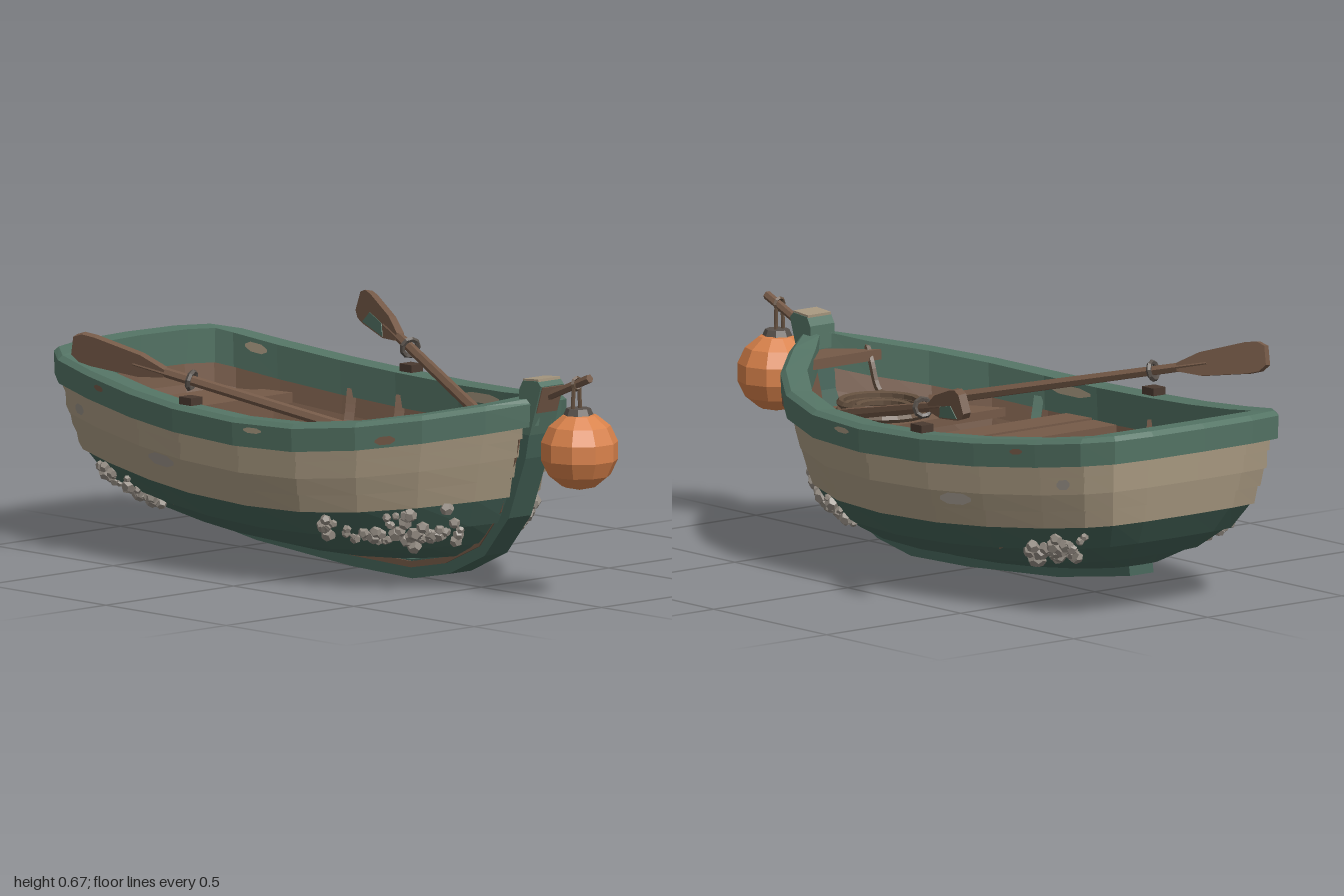
import * as THREE from 'three';
import { mergeGeometries } from 'three/addons/utils/BufferGeometryUtils.js';

const mat = (name, color) => Object.assign(new THREE.MeshStandardMaterial({ color, flatShading: true }), { name });
const V = (x, y, z) => new THREE.Vector3(x, y, z);
const shapeOf = (pts) => new THREE.Shape(pts.map((q) => new THREE.Vector2(...q)));
const extrude = (pts, depth) =>
  new THREE.ExtrudeGeometry(shapeOf(pts), { depth, bevelEnabled: false }).translate(0, 0, -depth / 2);
const lerpRows = (rows, t) => {
  const i = Math.min(Math.floor(t), rows.length - 2), f = t - i;
  return rows[i].map((a, k) => a + (rows[i + 1][k] - a) * f);
};

// Plan outline from stern centre to bow: length fraction, width fraction
const plan = [[0, 0], [0.005, 0.4], [0.02, 0.64], [0.06, 0.75], [0.15, 0.83], [0.28, 0.92], [0.4, 0.98],
  [0.55, 1], [0.68, 0.96], [0.79, 0.82], [0.88, 0.58], [0.95, 0.29], [1, 0.05]];
const N = plan.length - 1;
// Plank edges from rail to keel: stern x, bow x, half width, height, stern rise, bow rise
const levels = [
  [-0.975, 0.73, 0.455, 0.42, 0.085, 0.1], [-0.96, 0.7, 0.44, 0.32, 0.08, 0.09],
  [-0.93, 0.665, 0.405, 0.22, 0.075, 0.07], [-0.87, 0.62, 0.345, 0.15, 0.07, 0.06],
  [-0.79, 0.56, 0.25, 0.095, 0.065, 0.05], [-0.72, 0.5, 0.12, 0.06, 0.06, 0.04], [-0.7, 0.45, 0, 0.05, 0.06, 0.02]];

// Point on the hull: v counts planks down, u runs from stern to bow, off moves outwards
const hull = (v, u, side = 1, off = 0, dy = 0) => {
  const [xs, xb, w, y, rs, rb] = lerpRows(levels, v);
  const at = (t) => {
    const [n, f] = lerpRows(plan, Math.min(N, Math.max(0, t)));
    return [xs + (xb - xs) * n, w * f, n];
  };
  const [x, z, n] = at(u);
  let nx = u <= 0 ? -1 : 1, nz = 0;
  if (u > 0 && u < N) {
    const a = at(u - 0.6), b = at(u + 0.6), l = Math.hypot(b[0] - a[0], b[1] - a[1]) || 1;
    nx = -(b[1] - a[1]) / l;
    nz = (b[0] - a[0]) / l;
  }
  const rise = n < 0.58 ? rs * ((0.58 - n) / 0.58) ** 2 : rb * ((n - 0.58) / 0.42) ** 2;
  return V(x + nx * off, y + rise + dy, side * (z + nz * off));
};
const ring = (v, off = 0, dy = 0) =>
  Array.from({ length: 2 * N + 1 }, (_, i) => hull(v, Math.abs(i - N), Math.sign(i - N) || 1, off, dy));
const widthAt = (x, v) => {
  for (let u = 2; u <= N; u += 0.05) {
    const p = hull(v, u, 1, -0.034);
    if (p.x >= x) return p.z;
  }
  return 0.01;
};
// Skin between successive rows, outside facing when rows run downwards
const skin = (rows) => {
  const p = [];
  for (let i = 0; i < rows.length - 1; i++)
    for (let j = 0; j < rows[i].length - 1; j++) {
      const a = rows[i][j], b = rows[i][j + 1], c = rows[i + 1][j + 1], d = rows[i + 1][j];
      for (const q of [a, d, c, a, c, b]) p.push(q.x, q.y, q.z);
    }
  const g = new THREE.BufferGeometry().setAttribute('position', new THREE.Float32BufferAttribute(p, 3));
  g.computeVertexNormals();
  return g;
};

export function createModel() {
  const green = mat('green paint', 0x547465), deep = mat('bottom paint', 0x446257);
  const cream = mat('weathered cream', 0xa6977f), wood = mat('wood', 0x755a48), dark = mat('dark wood', 0x4a3a30);
  const orange = mat('orange float', 0xd9824b), shell = mat('barnacle grey', 0x958d84);
  const rope = mat('rope', 0x64503f), iron = mat('iron', 0x57504a);
  const root = new THREE.Group();
  root.name = 'rowingBoat';
  root.position.z = -0.01;
  const add = (name, geo, material, x = 0, y = 0, z = 0, parent = root) => {
    const m = new THREE.Mesh(geo, material);
    m.name = name;
    m.position.set(x, y, z);
    parent.add(m);
    return m;
  };
  const box = (name, w, h, d, material, x, y, z) => add(name, new THREE.BoxGeometry(w, h, d), material, x, y, z);
  const tube = (name, pts, r, sides, material) =>
    add(name, new THREE.TubeGeometry(new THREE.CatmullRomCurve3(pts), pts.length * 3, r, sides), material);
  const rod = (name, a, b, r, material) => {
    const m = add(name, new THREE.CylinderGeometry(r, r, a.distanceTo(b), 6), material);
    m.position.copy(a).lerp(b, 0.5);
    m.quaternion.setFromUnitVectors(V(0, 1, 0), b.clone().sub(a).normalize());
  };

  // Lapped outer planks with dark seams
  for (const [a, b] of [[0, 0.5], [0.5, 1], [1, 1.5], [1.5, 2], [2, 3], [3, 4], [4, 5], [5, 6]]) {
    const lap = b === 6 ? 0 : 0.008, edge = ring(b, lap, -lap * 0.6);
    add('hullPlank', skin([ring(a, 0.001), edge]), b > 2 ? deep : cream);
    add('plankSeam', skin([edge, ring(b, -0.004, 0.004 - lap * 0.6)]), dark);
  }

  // Rail, inner lining and floor
  add('gunwale', skin([ring(0, -0.045, -0.045), ring(0, -0.05, 0.055), ring(0, 0.012, 0.058), ring(0, 0.027, 0.045),
    ring(0, 0.024, -0.022), ring(0, 0, -0.022)]), green);
  const floorEdge = ring(2.9, -0.03);
  floorEdge.forEach((p) => { p.y = Math.max(p.y, 0.17); });
  add('innerLining', skin([floorEdge, ring(2, -0.03), ring(1, -0.03), ring(0, -0.03)]), wood);
  add('floor', skin([floorEdge.slice(N).reverse(), floorEdge.slice(0, N + 1)]), wood);
  for (const s of [-1, 1])
    for (const [z, a, b] of [[0.04, -0.66, 0.36], [0.12, -0.66, 0.36], [0.2, -0.64, 0.3], [0.27, -0.5, 0.12]])
      box('floorBoard', b - a, 0.02, 0.072, wood, (a + b) / 2, 0.184, s * z);

  // Seats and bow deck made of cross planks
  const deck = (name, x0, x1, count, y, v, t) => {
    const step = (x1 - x0) / count;
    for (let i = 0; i < count; i++) {
      const a = x0 + i * step + 0.004, b = x0 + (i + 1) * step - 0.004, wa = widthAt(a, v), wb = widthAt(b, v);
      add(name, extrude([[a, -wa], [b, -wb], [b, wb], [a, wa]], t).rotateX(-Math.PI / 2), wood, 0, y - t / 2 + (i % 2) * 0.004);
    }
  };
  deck('sternSeat', -0.88, -0.65, 2, 0.385, 1.1, 0.03);
  deck('middleSeat', -0.13, 0.09, 2, 0.38, 0.8, 0.04);
  deck('bowDeck', 0.29, 0.63, 3, 0.375, 0.9, 0.025);
  deck('breasthook', 0.58, 0.7, 1, 0.53, 0.1, 0.03);
  box('sternSeatFront', 0.02, 0.14, 0.54, wood, -0.67, 0.29, 0);
  add('seatStain', new THREE.CylinderGeometry(0.028, 0.028, 0.006, 8), shell, -0.86, 0.386, 0.09);

  // Ribs
  for (const x of [-0.46, -0.28, 0.2]) {
    for (const s of [-1, 1])
      tube('rib', [0.1, 1, 2, 2.8].map((v) => V(x, hull(v, 6).y, s * widthAt(x, v))), 0.02, 4, x > 0 ? green : wood);
    box('floorRib', 0.02, 0.03, 0.56, dark, x, 0.186, 0);
  }

  // Keel and stem, with a worn rubbing strip
  const outer = [[-0.72, 0.085], [-0.4, 0.035], [0, 0.006], [0.25, 0], [0.4, 0.03], [0.55, 0.1], [0.65, 0.22], [0.72, 0.4], [0.745, 0.52]];
  const inset = (d) => outer.map(([x, y], i) => {
    const a = outer[Math.max(0, i - 1)], b = outer[Math.min(outer.length - 1, i + 1)];
    const l = Math.hypot(b[0] - a[0], b[1] - a[1]);
    return [x - (b[1] - a[1]) / l * d, y + (b[0] - a[0]) / l * d];
  });
  add('keelAndStem', extrude([...outer, ...inset(0.055).reverse()], 0.088), deep);
  add('rubbingStrip', extrude([...inset(0.032), ...inset(0.05).reverse()], 0.097), wood);
  add('stemHead', extrude([[0.69, 0.47], [0.738, 0.47], [0.785, 0.615], [0.77, 0.63], [0.71, 0.625], [0.695, 0.6]], 0.09), green);
  box('stemCap', 0.064, 0.008, 0.086, cream, 0.74, 0.629, 0).rotation.z = 0.08;
  box('stemSplinteredFace', 0.008, 0.08, 0.08, wood, 0.771, 0.575, 0).rotation.z = -0.314;

  // Round float hanging from a short boom
  rod('boom', V(0.72, 0.562, 0), V(0.935, 0.652, -0.005), 0.013, wood);
  for (const z of [-0.014, 0.014]) rod('hanger', V(0.885, 0.635, z * 0.8), V(0.885, 0.55, z), 0.006, rope);
  add('hangerLoop', new THREE.TorusGeometry(0.017, 0.006, 4, 8).rotateY(Math.PI / 2), rope, 0.885, 0.632);
  add('float', new THREE.SphereGeometry(0.114, 10, 7).rotateY(0.3), orange, 0.885, 0.438, -0.012);
  add('floatCap', new THREE.CylinderGeometry(0.035, 0.046, 0.025, 8), iron, 0.885, 0.548, -0.008);

  // Oars and oarlocks
  const half = [[0.012, 0.82], [0.034, 0.9], [0.045, 1.05], [0.043, 1.09], [0.028, 1.115]];
  const blade = [...half, ...half.map(([x, y]) => [-x, y]).reverse()];
  for (const s of [-1, 1]) {
    const oar = new THREE.Group();
    oar.name = s > 0 ? 'frontOar' : 'backOar';
    const grip = V(0.41, 0.402, s * 0.165), tip = V(-0.6, 0.632, s * 0.562);
    const dir = tip.clone().sub(grip).normalize(), wide = V(0, 1, s * 0.2);
    wide.addScaledVector(dir, -wide.dot(dir)).normalize();
    oar.quaternion.setFromRotationMatrix(new THREE.Matrix4().makeBasis(wide, dir, wide.clone().cross(dir)));
    oar.position.copy(grip);
    add('oarShaft', new THREE.CylinderGeometry(0.014, 0.018, 0.92, 6), wood, 0, 0.46, 0, oar);
    add('oarBlade', extrude(blade, 0.024), wood, 0, 0, 0, oar);
    if (s < 0) add('bladePaint', extrude([[-0.03, 0.9], [0, 0.93], [0, 1.02], [-0.04, 1.05]], 0.028), green, 0, 0, 0, oar);
    root.add(oar);
    box('oarlockBlock', 0.05, 0.022, 0.045, dark, -0.26, 0.497, s * 0.432);
    const lock = add('oarlock', new THREE.TorusGeometry(0.025, 0.008, 5, 9), iron);
    lock.position.copy(grip).lerp(tip, 0.664);
    lock.quaternion.setFromUnitVectors(V(0, 0, 1), dir);
  }

  // Coiled rope on the bow deck with its end up against the rail
  [[0.125, 0], [0.108, 0.012], [0.09, 0.002], [0.115, 0.026], [0.075, 0.012]].forEach(([r, h], i) =>
    add('ropeCoil', new THREE.TorusGeometry(r, 0.011, 5, 18).rotateX(Math.PI / 2), rope, 0.42 + (i % 2) * 0.008, 0.39 + h, (i % 3) * 0.006 - 0.01));
  tube('ropeEnd', [V(0.48, 0.4, 0.09), V(0.55, 0.42, 0.09), V(0.585, 0.5, 0.09), V(0.62, 0.54, 0.1), V(0.66, 0.55, 0.09)], 0.01, 5, rope);

  // Barnacle clusters: plank range, length range, count
  let seed = 7;
  const rnd = () => (seed = (seed * 16807) % 2147483647) / 2147483647;
  const shells = [];
  for (const s of [-1, 1])
    for (const [v0, v1, u0, u1, n] of [[2.2, 3.9, 3, 4.4, 30], [2.1, 3.7, 8.3, 10.6, 40], [2.2, 4, 9.8, 11, 12]])
      for (let i = 0; i < n; i++) {
        const v = v0 + (v1 - v0) * (rnd() + rnd()) / 2, r = 0.011 + rnd() * 0.014;
        const p = hull(v, u0 + (u1 - u0) * rnd(), s, 0.009, -0.006);
        shells.push(new THREE.DodecahedronGeometry(r).rotateX(rnd() * 3).rotateY(rnd() * 3).translate(p.x, p.y, p.z));
      }
  add('barnacles', mergeGeometries(shells), shell);

  // Thin worn patches: plank, length range, offset, half height, lift; a negative offset faces inwards
  for (const [v, u0, u1, off, h, dy, material] of [[1.25, 5.2, 5.8, 0.012, 0.016, 0, shell], [0.75, 3.3, 3.6, 0.012, 0.014, 0, shell],
    [0, 7.2, 7.5, 0.029, 0.008, 0.03, cream], [0, 9.3, 9.6, 0.029, 0.012, 0, wood], [0, 4.2, 4.4, 0.029, 0.008, 0.025, wood],
    [0, 7.1, 7.9, -0.053, 0.014, 0.03, cream], [0, 3.3, 3.8, -0.053, 0.014, 0.03, cream]])
    for (const s of [-1, 1]) {
      const ts = s * off < 0 ? [1, 0.75, 0.25, 0] : [0, 0.25, 0.75, 1];
      const row = (k) => ts.map((t) => hull(v, u0 + (u1 - u0) * t, s, off, dy + k * h * (t % 1 ? 1 : 0.3)));
      add('wornPatch', skin([row(1), row(-1)]), material);
    }
  return root;
}
